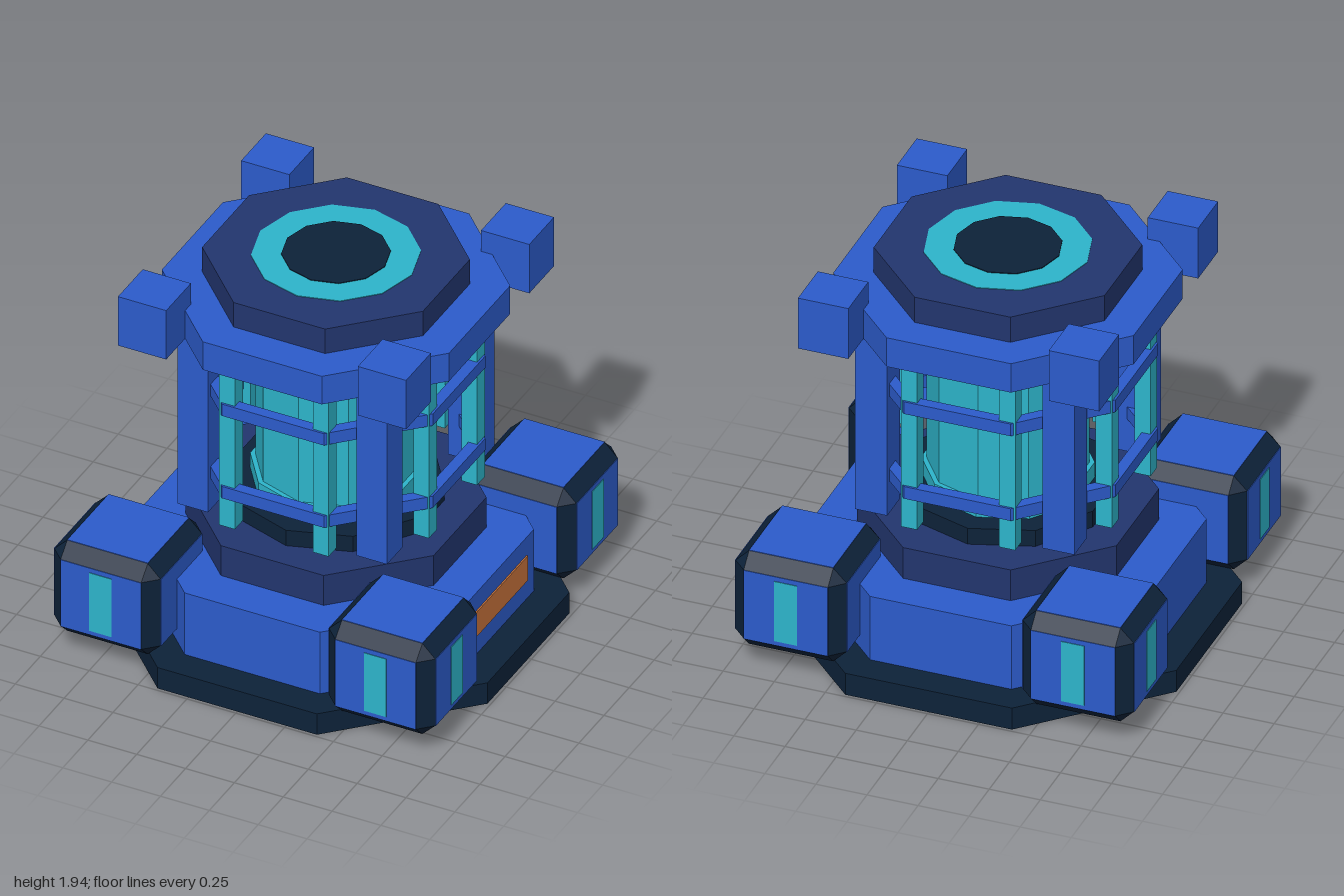
import * as THREE from 'three';
import { ConvexGeometry } from 'three/addons/geometries/ConvexGeometry.js';

const mat = (name, color) => {
  const m = new THREE.MeshStandardMaterial({ color, flatShading: true });
  m.name = name;
  return m;
};

export function createModel() {
  const blue = mat('blue', 0x2c5bca);
  const navy = mat('navy', 0x22356e);
  const dark = mat('darkNavy', 0x0d2239);
  const teal = mat('teal', 0x2db4ca);
  const orange = mat('orange', 0xc8733b);

  const model = new THREE.Group();
  model.name = 'reactorTower';

  const add = (name, geo, material, x = 0, y = 0, z = 0, parent = model) => {
    const m = new THREE.Mesh(geo, material);
    m.name = name;
    m.position.set(x, y, z);
    parent.add(m);
    return m;
  };
  // upright prism between two heights, first corner on +z
  const prism = (name, r, y0, y1, sides, material) =>
    add(name, new THREE.CylinderGeometry(r, r, y1 - y0, sides), material, 0, (y0 + y1) / 2, 0);
  // octagon with flat faces on the axes, sized by half width
  const C8 = Math.cos(Math.PI / 8);
  const octagon = (name, half, y0, y1, material) => {
    prism(name, half / C8, y0, y1, 8, material).rotation.y = Math.PI / 8;
  };

  // Stepped base
  octagon('basePlate', 0.985, 0, 0.115, dark);
  octagon('baseBody', 0.835, 0.115, 0.455, blue);
  octagon('baseCollar', 0.635, 0.455, 0.62, navy);
  prism('coreSeat', 0.5, 0.62, 0.705, 10, dark);
  add('sidePanel', new THREE.BoxGeometry(0.009, 0.135, 0.545), orange, 0.838, 0.288, 0);

  // Glowing core with end caps
  prism('core', 0.372, 0.78, 1.5, 10, teal);
  prism('coreLowerCap', 0.396, 0.705, 0.785, 10, teal);
  prism('coreUpperCap', 0.396, 1.49, 1.57, 10, teal);

  // Rods at the corners of an octagon
  const rodGeo = new THREE.BoxGeometry(0.08, 0.91, 0.08);
  for (let i = 0; i < 8; i++) {
    const a = (i + 0.5) * Math.PI / 4;
    add('rod', rodGeo, teal, 0.627 * Math.sin(a), 1.175, 0.627 * Math.cos(a));
  }

  // Thin octagonal bands around the rods
  const ring = (half) => Array.from({ length: 8 }, (_, i) => {
    const a = (i + 0.5) * Math.PI / 4;
    return new THREE.Vector2(Math.cos(a), Math.sin(a)).multiplyScalar(half / C8);
  });
  const bandShape = new THREE.Shape(ring(0.63));
  bandShape.holes.push(new THREE.Path(ring(0.575)));
  const bandGeo = new THREE.ExtrudeGeometry(bandShape, { depth: 0.065, bevelEnabled: false });
  bandGeo.rotateX(-Math.PI / 2);
  for (const y of [0.88, 1.335]) add('band', bandGeo, blue, 0, y, 0);

  // Crown and lid
  octagon('crown', 0.735, 1.64, 1.795, blue);
  octagon('lid', 0.565, 1.795, 1.93, navy);
  prism('lidRing', 0.388, 1.928, 1.933, 12, teal);
  prism('lidCentre', 0.25, 1.93, 1.937, 12, dark);

  // Chamfered pod shell
  const hx = 0.272, hy = 0.25, c = 0.066, pts = [];
  for (const x of [-1, 1]) for (const y of [-1, 1]) for (const z of [-1, 1]) {
    pts.push(
      new THREE.Vector3(x * hx, y * (hy - c), z * (hx - c)),
      new THREE.Vector3(x * (hx - c), y * hy, z * (hx - c)),
      new THREE.Vector3(x * (hx - c), y * (hy - c), z * hx));
  }
  const podGeo = new ConvexGeometry(pts);
  const w = 2 * (hx - c), h = 2 * (hy - c), t = 0.006;
  const panelX = new THREE.BoxGeometry(t, h, w);
  const panelY = new THREE.BoxGeometry(w, t, w);
  const panelZ = new THREE.BoxGeometry(w, h, t);
  const stripeX = new THREE.BoxGeometry(t, 0.32, 0.113);
  const stripeZ = new THREE.BoxGeometry(0.113, 0.32, t);
  const columnGeo = new THREE.BoxGeometry(0.157, 0.935, 0.157);
  const cornerGeo = new THREE.BoxGeometry(0.247, 0.27, 0.247);

  // Four corners: pod, column and crown block
  for (const sx of [-1, 1]) for (const sz of [-1, 1]) {
    const pod = new THREE.Group();
    pod.name = 'cornerPod';
    pod.position.set(sx * 0.703, 0.365, sz * 0.703);
    model.add(pod);
    add('podShell', podGeo, dark, 0, 0, 0, pod);
    add('podTopPanel', panelY, blue, 0, hy, 0, pod);
    for (const s of [-1, 1]) {
      add('podSidePanel', panelX, blue, s * hx, 0, 0, pod);
      add('podFacePanel', panelZ, blue, 0, 0, s * hx, pod);
    }
    add('podSideLight', stripeX, teal, sx * (hx + 0.003), 0, 0, pod);
    add('podFaceLight', stripeZ, teal, 0, 0, sz * (hx + 0.003), pod);

    add('column', columnGeo, blue, sx * 0.458, 1.1745, sz * 0.458);
    add('crownBlock', cornerGeo, blue, sx * 0.614, 1.775, sz * 0.614);
  }
  return model;
}
